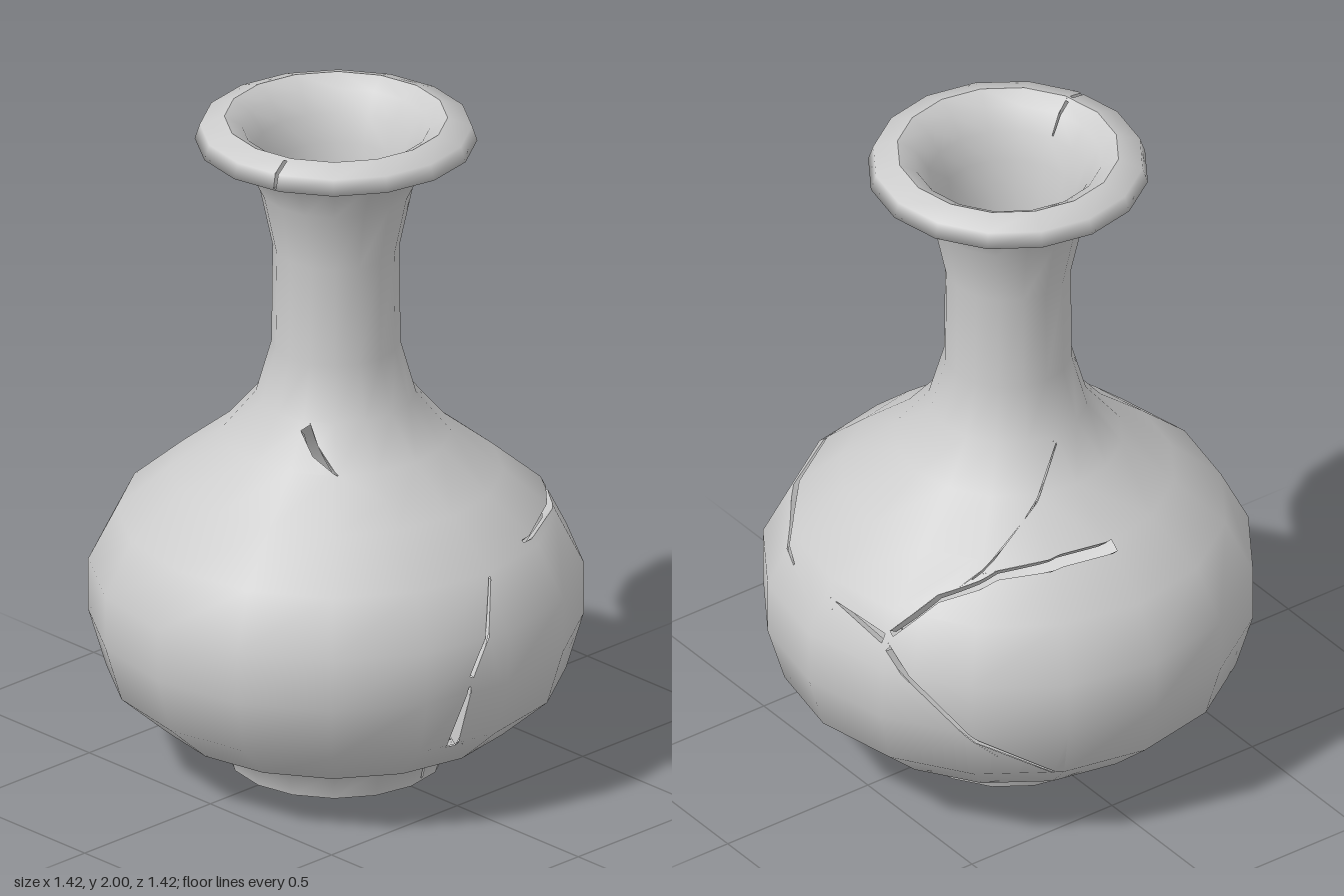
import * as THREE from 'three';

const SIDES = 16;
// matching [radius, height] rows of the outer and inner skin, foot to lip
const OUTER = [[0.31, 0], [0.34, 0.09], [0.52, 0.155], [0.66, 0.28], [0.71, 0.45], [0.71, 0.61],
  [0.63, 0.77], [0.48, 0.9], [0.33, 1.02], [0.23, 1.14], [0.185, 1.3], [0.182, 1.6],
  [0.22, 1.78], [0.28, 1.9], [0.405, 1.93], [0.39, 1.975], [0.32, 2]];
const INNER = [[0.275, 0], [0.285, 0.09], [0.49, 0.19], [0.62, 0.3], [0.67, 0.46], [0.67, 0.6],
  [0.6, 0.74], [0.45, 0.87], [0.3, 0.99], [0.205, 1.12], [0.172, 1.29], [0.17, 1.6],
  [0.18, 1.72], [0.2, 1.83], [0.23, 1.91], [0.27, 1.97], [0.32, 2]];
const ROWS = OUTER.length - 1;

// cracks as paths of [angle in degrees from the front, height, half width]
const CRACKS = [
  [[25, 1.125, 0.014], [33, 1.075, 0.014], [47, 1.02, 0.001]],
  [[90, 0.76, 0.003], [80, 0.5, 0.007]],
  [[79.5, 0.47, 0.004], [77, 0.27, 0.02]],
  [[109, 0.79, 0.003], [135, 0.785, 0.007], [150, 0.76, 0.009], [163, 0.71, 0.003]],
  [[272, 0.89, 0.012], [252, 0.89, 0.012], [230, 0.87, 0.009], [213, 0.81, 0.008], [203, 0.71, 0.009]],
  [[201, 0.69, 0.014], [184, 0.72, 0.001]],
  [[203, 0.67, 0.008], [226, 0.42, 0.006], [245, 0.28, 0.003]],
  [[222, 0.86, 0.002], [240, 0.97, 0.002], [268, 1.12, 0.002]],
  [[285, 0.19, 0.003], [311, 0.28, 0.012]],
  [[99, 0.01, 0.004], [97, 0.08, 0.005], [101, 0.13, 0.002]],
  [[20, 1.935, 0.004], [20, 1.995, 0.006]],
];

// point and normal of a skin at grid position (u around, v up)
function sample(profile, u, v, side) {
  const i = Math.floor(u), j = Math.min(Math.floor(v), ROWS - 1);
  const pos = new THREE.Vector3(), normal = new THREE.Vector3();
  for (const a of [0, 1]) for (const b of [0, 1]) {
    const w = (a ? u - i : 1 - u + i) * (b ? v - j : 1 - v + j);
    const t = ((i + a) / SIDES) * Math.PI * 2, k = j + b;
    const [r, y] = profile[k];
    const p = profile[Math.max(k - 1, 0)], q = profile[Math.min(k + 1, ROWS)];
    const n = new THREE.Vector2(q[1] - p[1], p[0] - q[0]).normalize().multiplyScalar(side);
    pos.addScaledVector(new THREE.Vector3(r * Math.sin(t), y, r * Math.cos(t)), w);
    normal.addScaledVector(new THREE.Vector3(n.x * Math.sin(t), n.y, n.x * Math.cos(t)), w);
  }
  return { pos, normal: normal.normalize() };
}

// height on the outer profile to its row position and radius
function rowAt(y) {
  let k = 0;
  while (k < ROWS - 1 && OUTER[k + 1][1] < y) k++;
  const f = (y - OUTER[k][1]) / (OUTER[k + 1][1] - OUTER[k][1]);
  return { v: k + f, r: OUTER[k][0] + f * (OUTER[k + 1][0] - OUTER[k][0]) };
}

// widen a crack path into a run of counter-clockwise quads on the grid
function crackQuads(path) {
  const edge = path.map(([deg, y, w], i) => {
    const a = path[Math.max(i - 1, 0)], b = path[Math.min(i + 1, path.length - 1)];
    const { r } = rowAt(y);
    const d = new THREE.Vector2(THREE.MathUtils.degToRad(b[0] - a[0]) * r, b[1] - a[1]).normalize();
    return [-1, 1].map((s) => [
      (deg / 360 + (-d.y * w * s) / r / (Math.PI * 2)) * SIDES,
      THREE.MathUtils.clamp(rowAt(y + d.x * w * s).v, 0, ROWS),
    ]);
  });
  return edge.slice(1).map((e, i) => [edge[i][0], e[0], e[1], edge[i][1]]);
}

// keep the part of a polygon on one side of the line a-b
function clip(poly, a, b, sign) {
  const dist = (p) => sign * ((b[0] - a[0]) * (p[1] - a[1]) - (b[1] - a[1]) * (p[0] - a[0]));
  const out = [];
  poly.forEach((p, i) => {
    const q = poly[(i + 1) % poly.length], dp = dist(p), dq = dist(q);
    if (dp >= 0) out.push(p);
    if (dp * dq < 0) {
      const t = dp / (dp - dq);
      out.push([p[0] + (q[0] - p[0]) * t, p[1] + (q[1] - p[1]) * t]);
    }
  });
  return out;
}

// convex polygon minus a convex quad, as convex pieces
function subtract(poly, quad) {
  const pieces = [];
  let rest = poly;
  quad.forEach((a, i) => {
    const b = quad[(i + 1) % 4];
    pieces.push(clip(rest, a, b, -1));
    rest = clip(rest, a, b, 1);
  });
  return rest.length < 3 ? [poly] : pieces.filter((p) => p.length > 2);
}

// one skin of the wall, with the cracks cut out
function skin(profile, side, quads) {
  const pos = [], nor = [];
  for (let i = 0; i < SIDES; i++) for (let j = 0; j < ROWS; j++) {
    let polys = [[[i, j], [i + 1, j], [i + 1, j + 1], [i, j + 1]]];
    for (const quad of quads) {
      const us = quad.map((p) => p[0]), vs = quad.map((p) => p[1]);
      if (Math.max(...us) < i || Math.min(...us) > i + 1) continue;
      if (Math.max(...vs) < j || Math.min(...vs) > j + 1) continue;
      polys = polys.flatMap((p) => subtract(p, quad));
    }
    for (const p of polys) for (let k = 1; k < p.length - 1; k++) {
      const tri = side > 0 ? [p[0], p[k], p[k + 1]] : [p[0], p[k + 1], p[k]];
      for (const [u, v] of tri) {
        const s = sample(profile, u, v, side);
        pos.push(...s.pos.toArray());
        nor.push(...s.normal.toArray());
      }
    }
  }
  const geo = new THREE.BufferGeometry();
  geo.setAttribute('position', new THREE.Float32BufferAttribute(pos, 3));
  geo.setAttribute('normal', new THREE.Float32BufferAttribute(nor, 3));
  return geo;
}

// broken faces joining the outer and inner skin along both sides of each crack
function fractureFaces(quads) {
  const pos = [], steps = 6;
  for (const [a, b, c, d] of quads) for (const [p, q] of [[a, b], [c, d]]) {
    for (let k = 0; k < steps; k++) {
      const at = (profile, t) => sample(profile, p[0] + (q[0] - p[0]) * t,
        p[1] + (q[1] - p[1]) * t, 1).pos.toArray();
      const t0 = k / steps, t1 = (k + 1) / steps;
      const o0 = at(OUTER, t0), o1 = at(OUTER, t1), i0 = at(INNER, t0), i1 = at(INNER, t1);
      pos.push(...o0, ...o1, ...i1, ...o0, ...i1, ...i0);
    }
  }
  const geo = new THREE.BufferGeometry();
  geo.setAttribute('position', new THREE.Float32BufferAttribute(pos, 3));
  geo.computeVertexNormals();
  return geo;
}

export function createModel() {
  const group = new THREE.Group();
  group.name = 'crackedVase';
  const grey = new THREE.MeshStandardMaterial({ color: 0xcccccc });
  const thin = new THREE.MeshStandardMaterial({ color: 0xcccccc, side: THREE.DoubleSide });
  const add = (name, geo, mat) => {
    const mesh = new THREE.Mesh(geo, mat);
    mesh.name = name;
    group.add(mesh);
    return mesh;
  };
  const quads = CRACKS.flatMap(crackQuads);

  // vase wall
  add('outerWall', skin(OUTER, 1, quads), grey);
  add('innerWall', skin(INNER, -1, quads), grey);
  add('crackFaces', fractureFaces(quads), thin);

  // foot ring and the raised floor inside it
  add('footRing', new THREE.RingGeometry(INNER[0][0], OUTER[0][0], SIDES).rotateX(Math.PI / 2), grey);
  add('floor', new THREE.CircleGeometry(INNER[1][0], SIDES).rotateX(-Math.PI / 2), thin)
    .position.y = INNER[1][1];
  return group;
}
